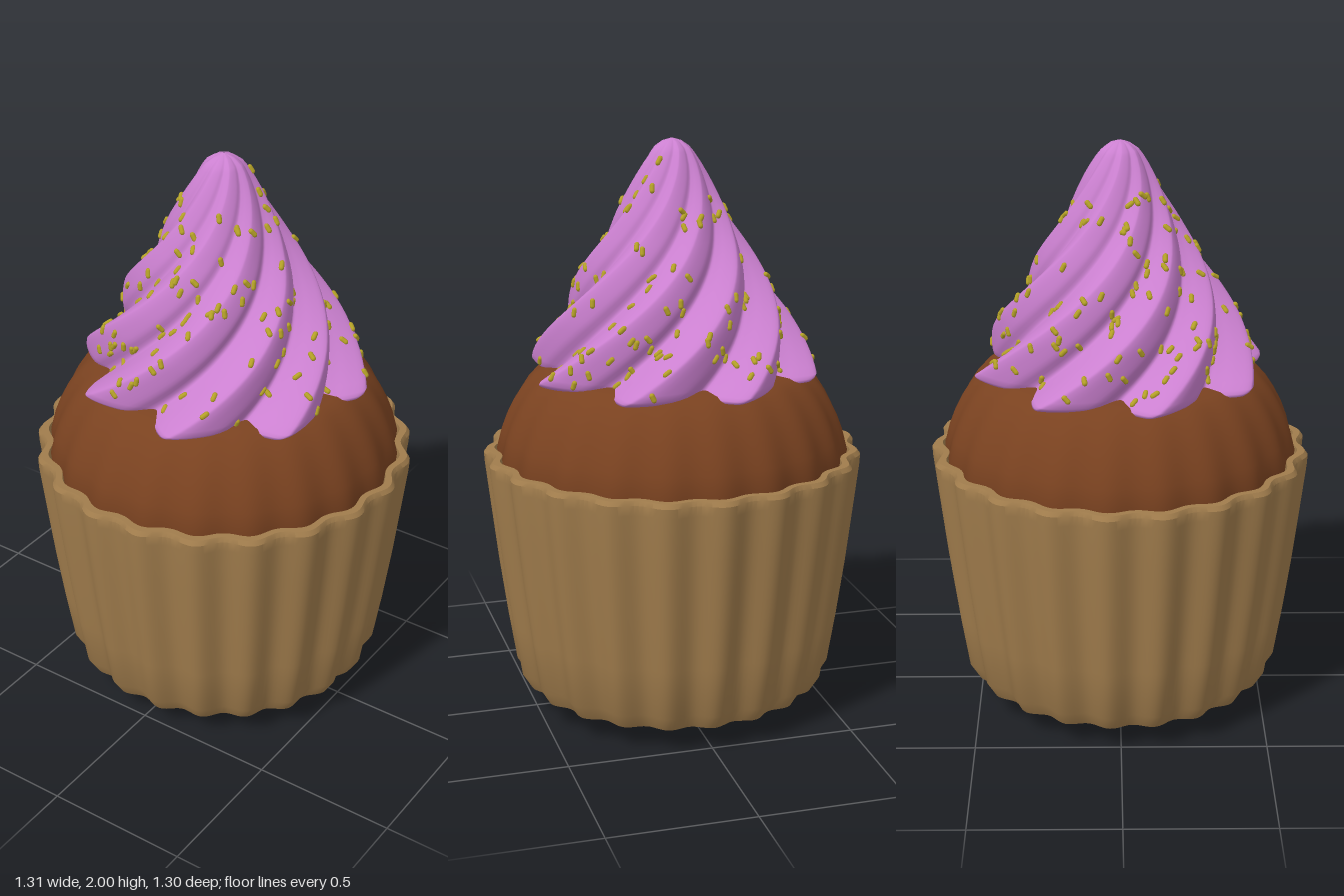
import * as THREE from 'three';
import { mergeGeometries, toCreasedNormals } from 'three/addons/utils/BufferGeometryUtils.js';

const FLUTES = 21, LOBES = 8;

// Skin a stack of closed rings; point(ring, u) gives a Vector3 for u in 0..1
function loft(rings, segments, point) {
  const pos = [], index = [];
  for (let i = 0; i < rings; i++) {
    for (let j = 0; j < segments; j++) {
      const p = point(i, j / segments);
      pos.push(p.x, p.y, p.z);
      if (i === rings - 1) continue;
      const a = i * segments + j, b = i * segments + (j + 1) % segments;
      index.push(a, a + segments, b, b, a + segments, b + segments);
    }
  }
  const geo = new THREE.BufferGeometry();
  geo.setAttribute('position', new THREE.Float32BufferAttribute(pos, 3));
  geo.setIndex(index);
  geo.computeVertexNormals();
  return geo;
}

// Fluted body of revolution; profile rows are [radius, y, flute depth]
function fluted(profile) {
  return loft(profile.length, FLUTES * 12, (i, u) => {
    const [r, y, depth] = profile[i];
    const t = u * Math.PI * 2;
    const R = r + depth * Math.cos(FLUTES * (t + Math.PI / 2));
    return new THREE.Vector3(R * Math.cos(t), y, R * Math.sin(t));
  });
}

// Linear interpolation through [x, y] pairs
function table(rows, x) {
  for (let i = 1; i < rows.length; i++) {
    const [x0, y0] = rows[i - 1], [x1, y1] = rows[i];
    if (x <= x1) return y0 + (y1 - y0) * (x - x0) / (x1 - x0);
  }
  return rows[rows.length - 1][1];
}

// Frosting cross-section: eight skewed, pointed lobes, largest radius 1
const lobe = [[0, 0.775], [9, 0.865], [19, 0.94], [26, 0.985], [29, 0.99], [35, 0.91], [41, 0.815]];
const star = new THREE.CatmullRomCurve3(
  Array.from({ length: LOBES }, (_, k) => lobe.map(([deg, r]) => {
    const t = THREE.MathUtils.degToRad(5.7 + k * 45 + deg);
    return new THREE.Vector3(r * Math.cos(t), 0, r * Math.sin(t));
  })).flat(), true);

// Outer radius of the swirl by height
const swirlRadius = [[1.2, 0.5], [1.22, 0.51], [1.3, 0.465], [1.4, 0.41], [1.5, 0.35], [1.6, 0.288],
  [1.7, 0.225], [1.8, 0.167], [1.88, 0.123], [1.94, 0.088], [1.97, 0.064], [1.99, 0.035], [2, 0.002]];
const UP = new THREE.Vector3(0, 1, 0);

// Point on the swirl; the lobes get shallower towards the tip
function swirlPoint(y, u, r = table(swirlRadius, y)) {
  const twist = THREE.MathUtils.degToRad((y - 1.2) * 168);
  const p = star.getPoint(u);
  const soften = 0.45 * THREE.MathUtils.smoothstep(y, 1.4, 2);
  p.setLength(THREE.MathUtils.lerp(p.length(), 0.95, soften) * r);
  return p.applyAxisAngle(UP, twist).setY(y);
}

function seeded(seed) {
  return () => {
    seed = (seed * 1664525 + 1013904223) % 4294967296;
    return seed / 4294967296;
  };
}

// Little rods half sunk into the swirl
function sprinkleGeometry(count) {
  const rand = seeded(11);
  const base = new THREE.CapsuleGeometry(0.009, 0.017, 3, 8);
  const parts = [base.clone().translate(0, 1.98, 0)];
  while (parts.length < count) {
    const y = 1.23 + 0.72 * (1 - Math.sqrt(rand()));
    const u = rand();
    const p = swirlPoint(y, u);
    const around = swirlPoint(y, u + 0.002).sub(p).normalize();
    const along = swirlPoint(y + 0.005, u).sub(p).normalize();
    const normal = along.clone().cross(around).normalize();
    const angle = (rand() - 0.5) * 1.6;
    const dir = new THREE.Vector3(0, 1, 0).addScaledVector(normal, -normal.y).normalize()
      .applyAxisAngle(normal, angle);
    const q = new THREE.Quaternion().setFromUnitVectors(UP, dir);
    parts.push(base.clone().applyQuaternion(q).translate(p.x, p.y, p.z));
  }
  return mergeGeometries(parts);
}

export function createModel() {
  const group = new THREE.Group();
  const add = (name, geometry, color) => {
    const mesh = new THREE.Mesh(geometry, new THREE.MeshStandardMaterial({ color }));
    mesh.name = name;
    group.add(mesh);
  };

  // Pleated paper cup: bowed base, wall, rim and inner lip
  add('wrapper', toCreasedNormals(fluted([
    [0.002, 0, 0], [0.15, 0.008, 0.002], [0.3, 0.028, 0.005], [0.42, 0.055, 0.009], [0.51, 0.085, 0.013],
    [0.542, 0.14, 0.015], [0.57, 0.32, 0.015], [0.597, 0.52, 0.015], [0.62, 0.72, 0.015], [0.638, 0.88, 0.015],
    [0.64, 0.915, 0.015], [0.63, 0.93, 0.014], [0.606, 0.93, 0.012], [0.592, 0.8, 0.012],
  ]), 0.6), 0xa07c4c);

  // Domed cake with faint pleats fading towards the top
  add('cake', fluted([
    [0.588, 0.8, 0.008], [0.602, 0.93, 0.007], [0.585, 1, 0.006], [0.567, 1.05, 0.005], [0.543, 1.1, 0.004],
    [0.512, 1.15, 0.003], [0.472, 1.195, 0.002], [0.435, 1.218, 0.001], [0.38, 1.234, 0],
    [0.25, 1.243, 0], [0.002, 1.246, 0],
  ]), 0x7a4220);

  // Twisted frosting with a tucked-in underside
  const heights = [];
  for (let y = 1.22; y < 1.94; y += 0.02) heights.push(y);
  heights.push(1.95, 1.96, 1.97, 1.98, 1.99, 1.995, 2);
  const rows = [[1.2, 0.3], [1.196, 0.47], [1.2, 0.495], [1.209, 0.506],
    ...heights.map((y) => [y, table(swirlRadius, y)])];
  add('frosting', loft(rows.length, LOBES * 28, (i, u) => swirlPoint(rows[i][0], u, rows[i][1])), 0xcb80d0);

  add('sprinkles', sprinkleGeometry(200), 0xb5a227);
  return group;
}
